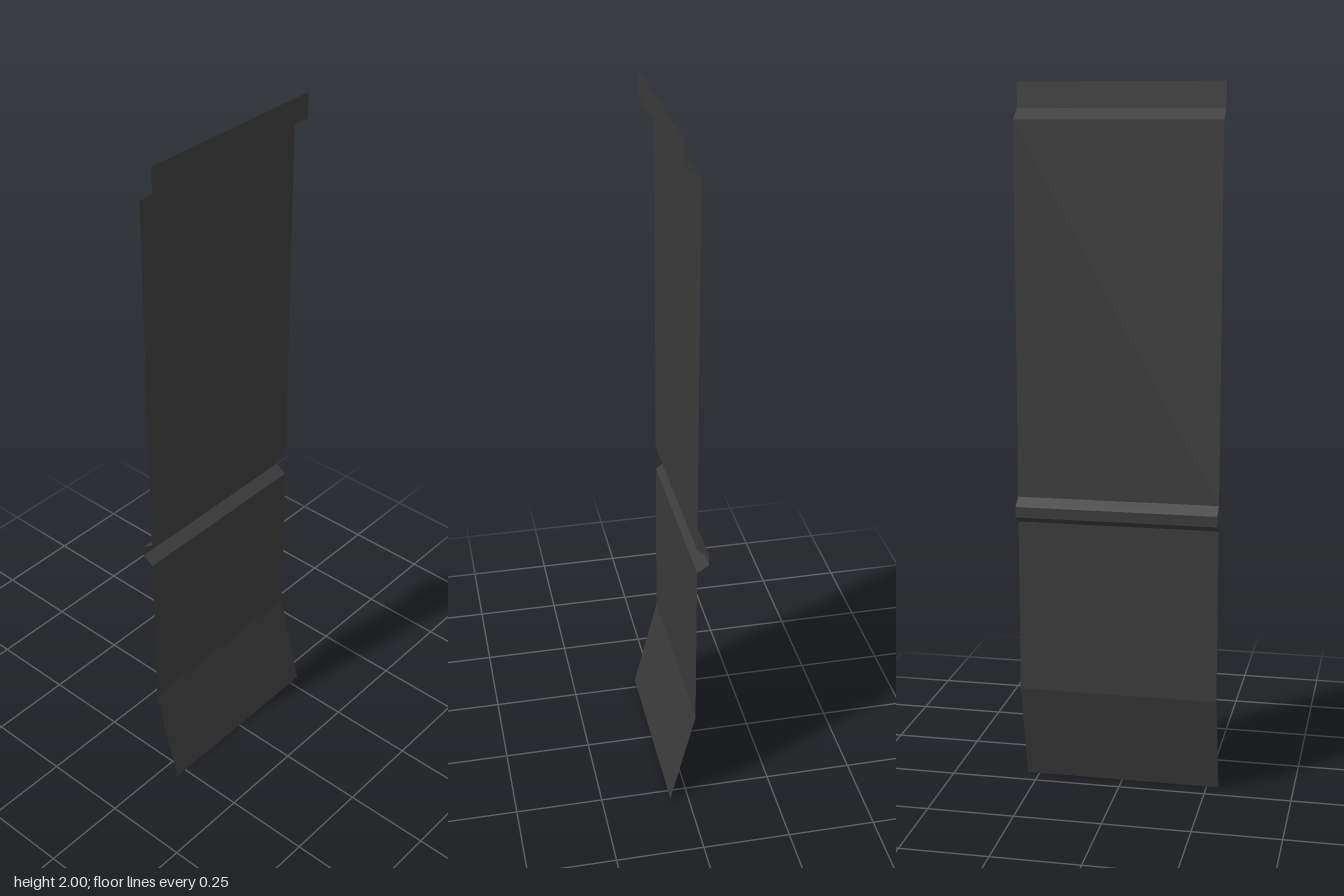
import * as THREE from 'three';

const WIDTH = 0.57;

// Folded sheet profile from top to bottom: [y, z, name of the panel below this fold]
const PROFILE = [
  [2.0, 0.021, 'topFlange'],
  [1.93, 0.021, 'topFlangeBend'],
  [1.9, -0.021, 'upperPanel'],
  [0.86, -0.021, 'ribUpperSlope'],
  [0.838, -0.054, 'ribFace'],
  [0.808, -0.054, 'ribLowerSlope'],
  [0.788, -0.021, 'lowerPanel'],
  [0.29, -0.021, 'bottomFlare'],
  [0, 0.052],
];

// One flat panel spanning the sheet's width between two folds, facing +z
function panelGeometry([y0, z0], [y1, z1]) {
  const length = Math.hypot(y1 - y0, z1 - z0);
  const geometry = new THREE.PlaneGeometry(WIDTH, length);
  geometry.rotateX(Math.atan2(z0 - z1, y0 - y1));
  geometry.translate(0, (y0 + y1) / 2, (z0 + z1) / 2);
  return geometry;
}

export function createModel() {
  const sheet = new THREE.MeshStandardMaterial({ color: 0x3a3a3a, side: THREE.DoubleSide });
  sheet.name = 'darkGreySheet';

  const model = new THREE.Group();
  model.name = 'foldedPanel';
  for (let i = 0; i < PROFILE.length - 1; i++) {
    const mesh = new THREE.Mesh(panelGeometry(PROFILE[i], PROFILE[i + 1]), sheet);
    mesh.name = PROFILE[i][2];
    model.add(mesh);
  }
  return model;
}
